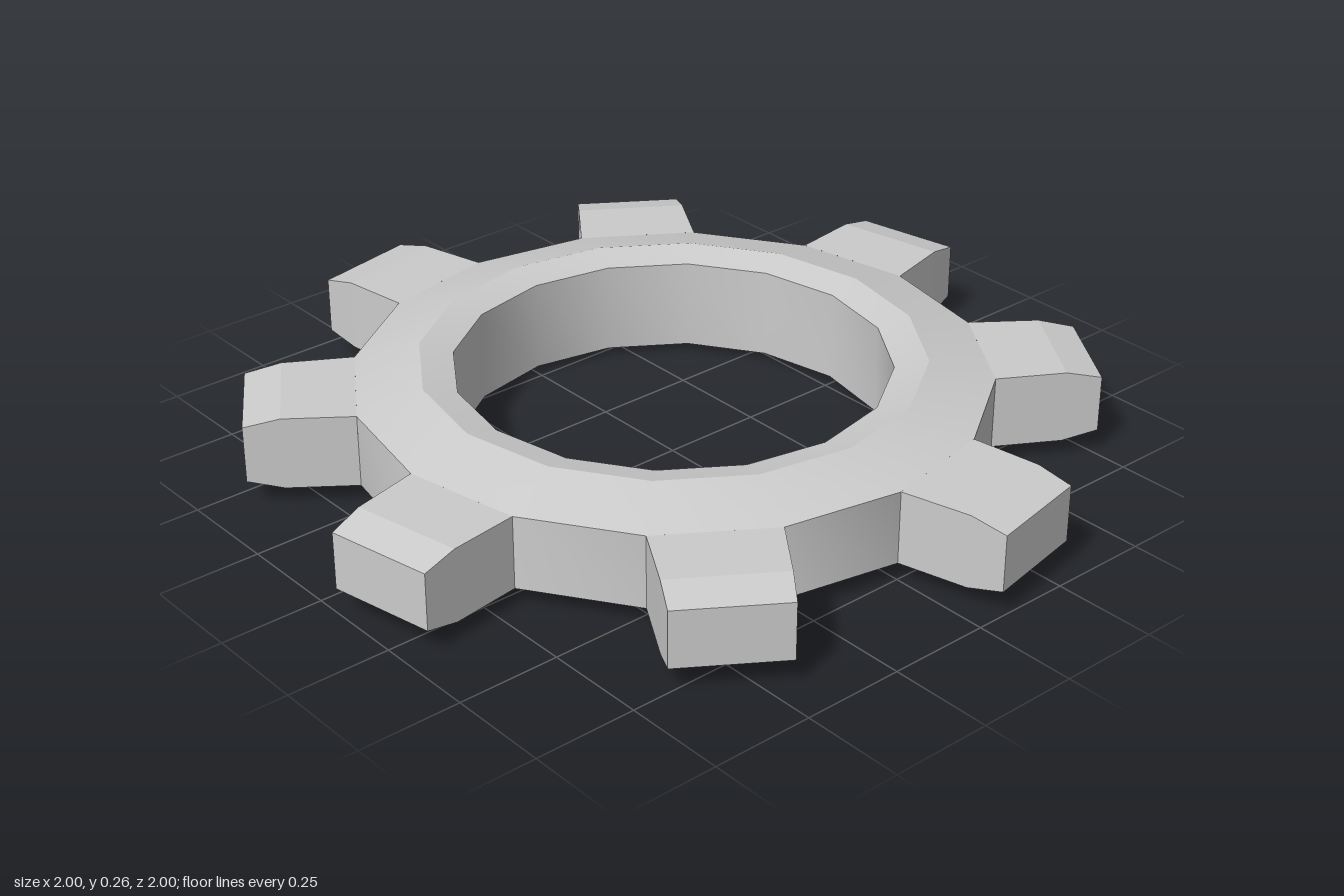
import * as THREE from 'three';
import { toCreasedNormals } from 'three/addons/utils/BufferGeometryUtils.js';

const MID = 0.135; // height of the middle plane
const SIDES = 16;

// One tooth along +x, lofted from rectangular sections [distance, half width, half height]
function toothGeometry() {
  const sections = [[0.7356, 0.146, 0.09], [0.907, 0.137, 0.09], [0.9935, 0.132, 0.07]];
  const positions = [];
  const index = [];
  for (const [r, w, h] of sections) {
    positions.push(r, -h, w, r, -h, -w, r, h, -w, r, h, w);
  }
  for (let s = 0; s < sections.length - 1; s++) {
    for (let k = 0; k < 4; k++) {
      const a = s * 4 + k, b = s * 4 + (k + 1) % 4;
      index.push(a, b, b + 4, a, b + 4, a + 4);
    }
  }
  const e = (sections.length - 1) * 4;
  index.push(e, e + 1, e + 2, e, e + 2, e + 3); // tip face
  const g = new THREE.BufferGeometry();
  g.setAttribute('position', new THREE.Float32BufferAttribute(positions, 3));
  g.setIndex(index);
  g.computeVertexNormals();
  return g;
}

export function createModel() {
  const group = new THREE.Group();
  group.name = 'gear';

  // Ring body: bevelled profile [radius, height from the middle plane]
  const profile = [
    [0.75, -0.09], [0.75, 0.09], [0.595, 0.132], [0.515, 0.112],
    [0.515, -0.112], [0.595, -0.132], [0.75, -0.09],
  ].map(([r, y]) => new THREE.Vector2(r, y));
  const ring = new THREE.Mesh(
    toCreasedNormals(new THREE.LatheGeometry(profile, SIDES), THREE.MathUtils.degToRad(25)),
    new THREE.MeshStandardMaterial({ color: 0xcccccc })
  );
  ring.name = 'ringBody';
  ring.position.y = MID;
  group.add(ring);

  // Teeth on every second side of the ring
  const toothGeo = toothGeometry();
  const toothMat = new THREE.MeshStandardMaterial({ color: 0xcccccc, flatShading: true });
  for (let i = 0; i < SIDES / 2; i++) {
    const tooth = new THREE.Mesh(toothGeo, toothMat);
    tooth.name = `tooth${i + 1}`;
    tooth.position.y = MID;
    tooth.rotation.y = ((2 * i + 0.5) * 2 * Math.PI) / SIDES;
    group.add(tooth);
  }
  group.position.y = -0.003; // rest on the ground
  return group;
}
